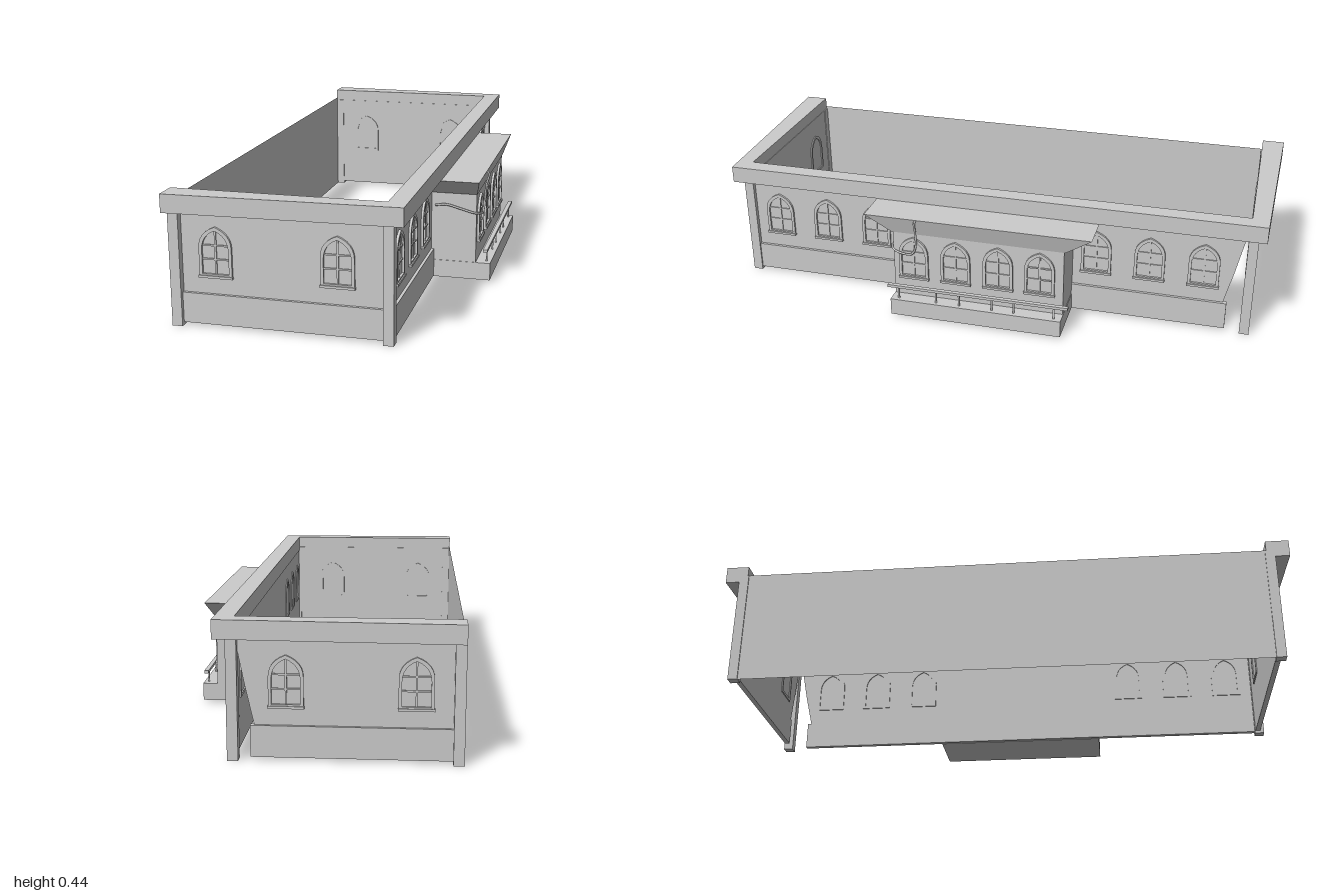
import * as THREE from 'three';

const grey = new THREE.MeshStandardMaterial({ color: 0xcccccc, side: THREE.DoubleSide });

function add(parent, name, geometry, x = 0, y = 0, z = 0) {
  const mesh = new THREE.Mesh(geometry, grey);
  mesh.name = name;
  mesh.position.set(x, y, z);
  parent.add(mesh);
  return mesh;
}

// Box given by its minimum and maximum corners
function block(parent, name, a, b) {
  const g = new THREE.BoxGeometry(b[0] - a[0], b[1] - a[1], b[2] - a[2]);
  return add(parent, name, g, (a[0] + b[0]) / 2, (a[1] + b[1]) / 2, (a[2] + b[2]) / 2);
}

function extrude(points, depth) {
  const shape = new THREE.Shape(points.map(p => new THREE.Vector2(p[0], p[1])));
  return new THREE.ExtrudeGeometry(shape, { depth, bevelEnabled: false });
}

// Pointed arch outline standing on y = base
function arch(PathType, w, h, base) {
  const p = new PathType();
  const spring = h * 0.58;
  p.moveTo(-w, base);
  p.lineTo(w, base);
  p.lineTo(w, spring);
  p.quadraticCurveTo(w, h * 0.88, 0, h);
  p.quadraticCurveTo(-w, h * 0.88, -w, spring);
  p.closePath();
  return p;
}

// Arched window: frame, glazing bars and sill; local z = 0 is the wall face
function addWindow(parent, x, y, back = 0.012) {
  const win = new THREE.Group();
  win.name = 'window';
  win.position.set(x, y, 0);
  const shape = arch(THREE.Shape, 0.054, 0.163, 0);
  shape.holes.push(arch(THREE.Path, 0.044, 0.151, 0.01));
  const frame = new THREE.ExtrudeGeometry(shape, { depth: back + 0.008, bevelEnabled: false, curveSegments: 6 });
  add(win, 'windowFrame', frame, 0, 0, -back);
  block(win, 'verticalBar', [-0.003, 0.008, -0.002], [0.003, 0.153, 0.004]);
  block(win, 'lowerBar', [-0.045, 0.055, -0.002], [0.045, 0.06, 0.004]);
  block(win, 'upperBar', [-0.045, 0.1, -0.002], [0.045, 0.105, 0.004]);
  block(win, 'sill', [-0.056, -0.003, -0.002], [0.056, 0.005, 0.012]);
  parent.add(win);
}

// Wall facing local +z: upper panel, thicker plinth and a row of windows.
// cutL and cutR slant the panel ends where the masonry has broken away.
function addWall(root, name, x0, x1, windows, cutL = 0, cutR = 0) {
  const wall = new THREE.Group();
  wall.name = name;
  add(wall, 'upperPanel', extrude([
    [x0 + cutL, 0.11], [x1 - cutR, 0.11], [x1 - cutR * 0.55, 0.23],
    [x1, 0.4], [x0, 0.4], [x0 + cutL * 0.55, 0.23],
  ], 0.008));
  block(wall, 'plinth', [x0 + cutL * 0.8, 0.01, 0], [x1 - cutR * 0.8, 0.11, 0.018]);
  windows.forEach(x => addWindow(wall, x, 0.167));
  // window positions are relative to the upper panel's outer face
  wall.children.filter(c => c.name === 'window').forEach(c => { c.position.z = 0.008; });
  root.add(wall);
  return wall;
}

export function createModel() {
  const root = new THREE.Group();
  root.name = 'buildingStorey';

  // Walls; the back right corner is broken open
  addWall(root, 'frontWall', -0.45, 0.24, [-0.312, 0.082]).position.z = 0.918;
  const back = addWall(root, 'backWall', -0.24, 0.45, [-0.082, 0.312], 0.06);
  back.rotation.y = Math.PI;
  back.position.z = -0.918;
  const side = addWall(root, 'sideWall', -0.925, 0.915,
    [-0.82, -0.628, -0.435, 0.395, 0.585, 0.775], 0, 0.065);
  side.rotation.y = Math.PI / 2;
  side.position.x = 0.238;

  // Plain far side
  const plain = add(root, 'plainWall', new THREE.PlaneGeometry(1.88, 0.41), -0.455, 0.205, 0);
  plain.rotation.y = -Math.PI / 2;

  // Corner posts
  for (const s of [-1, 1]) {
    for (const x of [-0.442, 0.245]) {
      add(root, 'cornerPost', new THREE.BoxGeometry(0.034, 0.4, 0.034), x, 0.2, s * 0.933);
    }
  }

  // Cornice around three sides
  const cornice = add(root, 'cornice', extrude([
    [-0.457, 1], [-0.457, 0.92], [0.236, 0.92], [0.236, -0.92],
    [-0.457, -0.92], [-0.457, -1], [0.297, -0.978], [0.297, 0.975],
  ], 0.06), 0, 0.445, 0);
  cornice.rotation.x = Math.PI / 2;

  // Projecting bay with a deeper base
  const bay = new THREE.Group();
  bay.name = 'bay';
  root.add(bay);
  block(bay, 'bayBody', [0.243, 0.01, -0.31], [0.405, 0.325, 0.31]);
  block(bay, 'bayBase', [0.25, 0.008, -0.312], [0.457, 0.07, 0.312]);

  // Flared eaves: a box narrowed at its lower edge
  const eaves = new THREE.BoxGeometry(1, 1, 1).toNonIndexed();
  const p = eaves.attributes.position;
  for (let i = 0; i < p.count; i++) {
    const top = p.getY(i) > 0;
    const outer = p.getX(i) > 0;
    p.setXYZ(i, outer ? (top ? 0.427 : 0.407) : 0.243, top ? 0.384 : 0.318,
      Math.sign(p.getZ(i)) * (top ? 0.408 : 0.315));
  }
  eaves.computeVertexNormals();
  add(bay, 'flaredEaves', eaves);

  // Bay windows
  const bayWindows = new THREE.Group();
  bayWindows.name = 'bayWindows';
  bayWindows.rotation.y = Math.PI / 2;
  bayWindows.position.x = 0.405;
  [-0.235, -0.08, 0.075, 0.225].forEach(x => addWindow(bayWindows, x, 0.142, 0.003));
  bay.add(bayWindows);

  // Railing on the base
  block(bay, 'handrail', [0.433, 0.113, -0.335], [0.448, 0.123, 0.325]);
  for (const z of [0.285, 0.145, 0.06, -0.06, -0.14, -0.285]) {
    block(bay, 'railPost', [0.438, 0.068, z - 0.003], [0.443, 0.114, z + 0.003]);
  }

  // Loose cable drooping along the bay and up to the eaves
  const path = new THREE.CatmullRomCurve3([
    [0.26, 0.272, 0.315], [0.3, 0.277, 0.318], [0.35, 0.265, 0.318], [0.4, 0.252, 0.316],
    [0.418, 0.246, 0.29], [0.418, 0.242, 0.24], [0.42, 0.275, 0.222],
    [0.424, 0.33, 0.22], [0.433, 0.375, 0.22], [0.42, 0.38, 0.218],
  ].map(a => new THREE.Vector3(...a)));
  add(bay, 'cable', new THREE.TubeGeometry(path, 40, 0.004, 6));

  return root;
}
